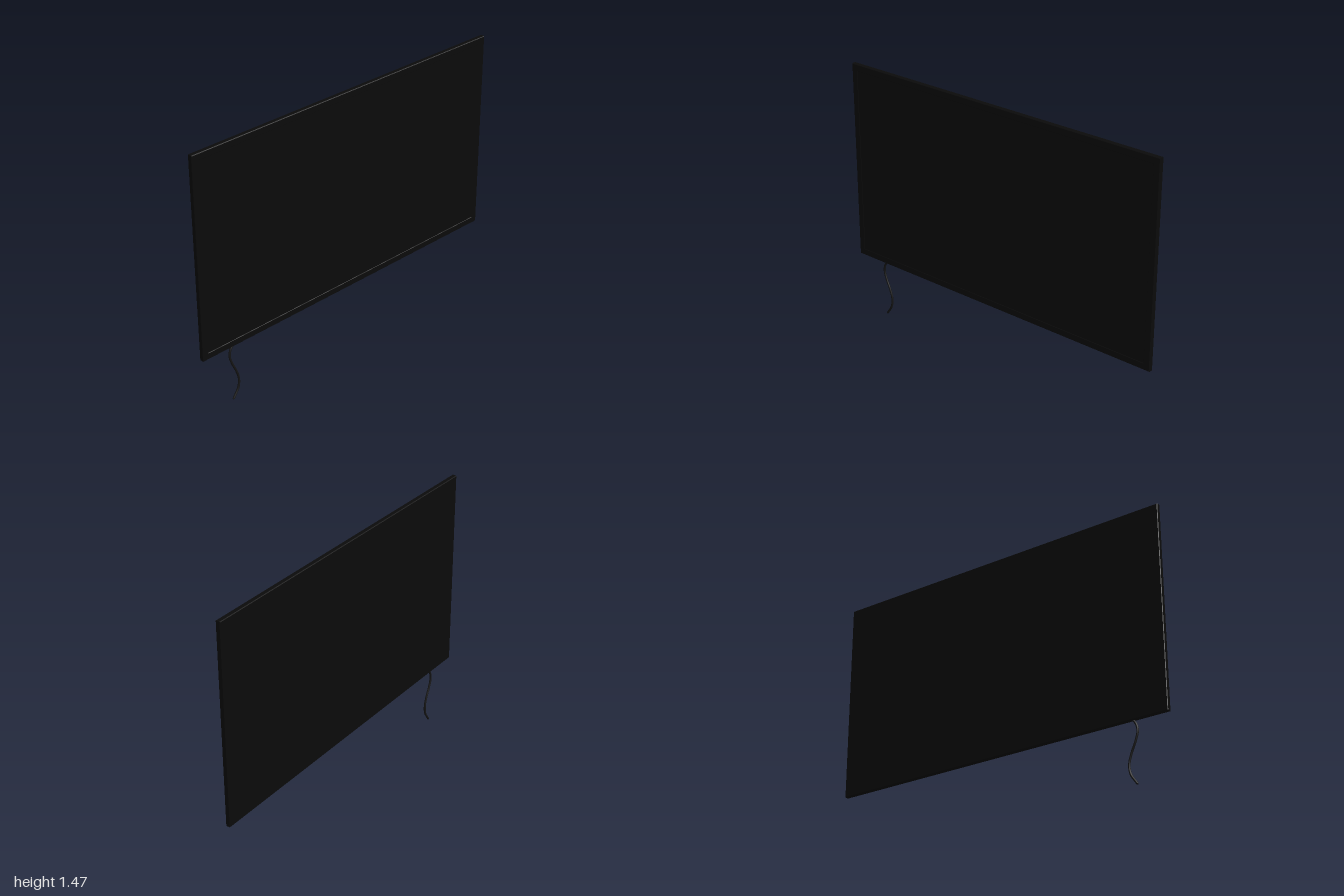
import * as THREE from 'three';

const W = 2, BOTTOM = 0.33, TOP = 1.465, DEPTH = 0.027;
const H = TOP - BOTTOM, MID = (TOP + BOTTOM) / 2;
const BEZEL = 0.035, BEVEL = 0.003, CORD_R = 0.006;

function rectangle(Type, w, h) {
  return new Type([[-1, -1], [1, -1], [1, 1], [-1, 1]].map(
    ([x, y]) => new THREE.Vector2(x * w / 2, y * h / 2)));
}

export function createModel() {
  const model = new THREE.Group();
  const black = new THREE.MeshStandardMaterial({ color: 0x0b0b0b });
  const cordBlack = new THREE.MeshStandardMaterial({ color: 0x151515 });

  function add(name, geometry, material, x = 0, y = 0, z = 0) {
    const mesh = new THREE.Mesh(geometry, material);
    mesh.name = name;
    mesh.position.set(x, y, z);
    model.add(mesh);
  }

  // Bevelled border around the panel
  const outline = rectangle(THREE.Shape, W - 2 * BEVEL, H - 2 * BEVEL);
  outline.holes.push(rectangle(THREE.Path, W - 2 * BEZEL, H - 2 * BEZEL));
  const frame = new THREE.ExtrudeGeometry(outline, {
    depth: DEPTH - 2 * BEVEL, bevelThickness: BEVEL, bevelSize: BEVEL, bevelSegments: 1,
  });
  frame.translate(0, 0, -DEPTH / 2 + BEVEL);
  add('frame', frame, black, 0, MID);

  // Flat panel, just below the face of the border and flush at the back
  const panelDepth = DEPTH - 0.002;
  add('panel', new THREE.BoxGeometry(W - 2 * BEZEL + 0.004, H - 2 * BEZEL + 0.004, panelDepth),
    black, 0, MID, -0.001);

  // Wavy cord hanging from the lower edge
  const path = new THREE.CatmullRomCurve3([
    [-0.795, 0.34], [-0.818, 0.306], [-0.824, 0.27], [-0.81, 0.22], [-0.786, 0.165],
    [-0.771, 0.11], [-0.777, 0.06], [-0.81, CORD_R],
  ].map(([x, y]) => new THREE.Vector3(x, y, 0)));
  add('cord', new THREE.TubeGeometry(path, 48, CORD_R, 10), cordBlack);
  add('cordEnd', new THREE.SphereGeometry(CORD_R, 10, 8), cordBlack, -0.81, CORD_R, 0);

  return model;
}
